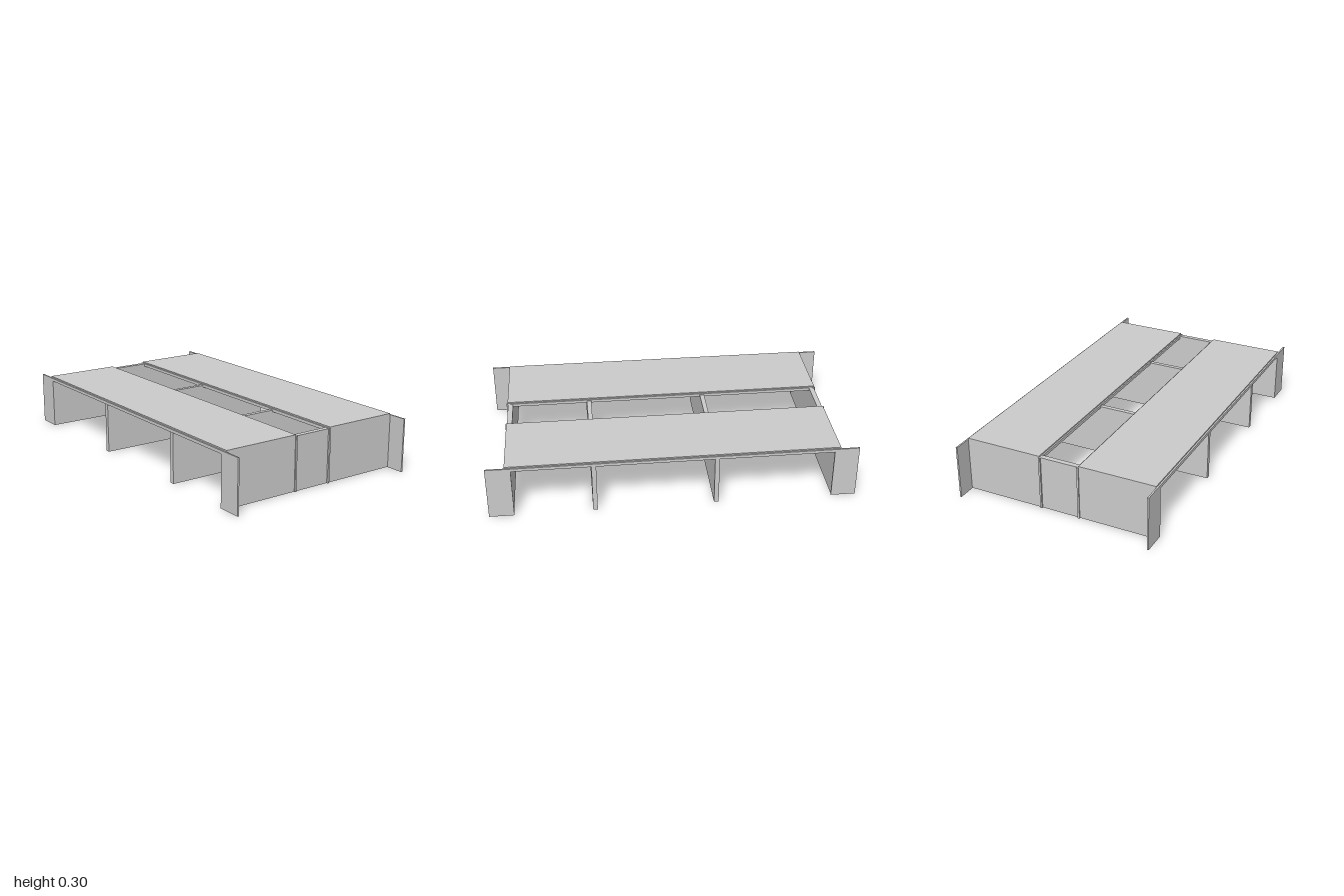
import * as THREE from 'three';

export function createModel() {
  const group = new THREE.Group();
  const material = new THREE.MeshStandardMaterial({ color: 0xcccccc, flatShading: true });
  // the whole frame leans slightly out of square
  const skew = new THREE.Matrix4().makeShear(0, 0, 0, 0, -0.009, 0);
  skew.elements[8] = -0.009;
  skew.elements[2] = 0;

  function add(name, geometry) {
    const mesh = new THREE.Mesh(geometry.applyMatrix4(skew), material);
    mesh.name = name;
    group.add(mesh);
  }
  // box given by its extents on each axis
  function box(name, x0, x1, y0, y1, z0, z1) {
    const g = new THREE.BoxGeometry(x1 - x0, y1 - y0, z1 - z0);
    g.translate((x0 + x1) / 2, (y0 + y1) / 2, (z0 + z1) / 2);
    add(name, g);
  }
  // thin portal-shaped sheet: two legs joined by a narrow strip on top
  function portal(name, outer, inner, z0, z1) {
    const s = new THREE.Shape([
      [-outer, 0], [-inner, 0], [-inner, 0.28], [inner, 0.28],
      [inner, 0], [outer, 0], [outer, 0.297], [-outer, 0.297],
    ].map(([x, y]) => new THREE.Vector2(x, y)));
    const g = new THREE.ExtrudeGeometry(s, { depth: z1 - z0, bevelEnabled: false });
    add(name, g.translate(0, 0, z0));
  }

  for (const [side, dir] of [['front', 1], ['back', -1]]) {
    const span = (a, b) => (dir > 0 ? [a, b] : [-b, -a]);
    // wide top plank, wrapped down over both ends
    box(side + 'Plank', -0.893, 0.893, 0.281, 0.304, ...span(0.114, 0.544));
    for (const s of [-1, 1]) {
      const x = [s * 0.893, s * 0.88].sort((a, b) => a - b);
      box(side + 'EndSkin', ...x, 0.002, 0.282, ...span(0.114, 0.544));
    }
    // corner flaps with their joining strip, and the inner edge trim
    portal(side + 'FlapPanel', 0.994, 0.86, ...span(0.544, 0.553));
    portal(side + 'InnerTrim', 0.899, 0.868, ...span(0.106, 0.116));
  }

  // cross boards: two ends and two in between
  for (const s of [-1, 1]) {
    const x = [s * 0.89, s * 0.862].sort((a, b) => a - b);
    box('endBoard', ...x, 0, 0.296, -0.545, 0.545);
  }
  for (const x of [-0.227, 0.428]) box('crossBoard', x - 0.0125, x + 0.0125, 0, 0.29, -0.548, 0.548);

  return group;
}
